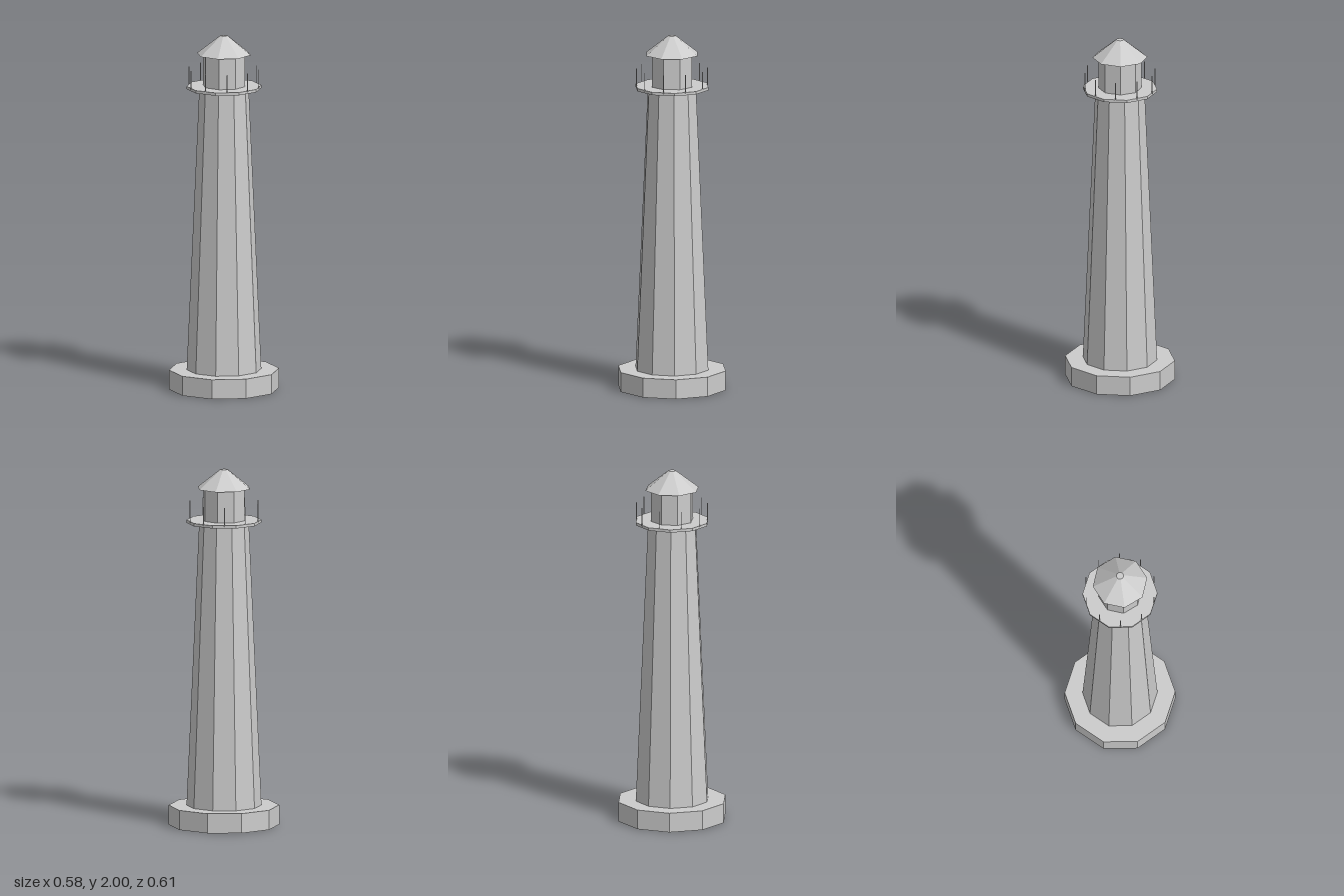
import * as THREE from 'three';

export function createModel() {
  const group = new THREE.Group();
  const stone = new THREE.MeshStandardMaterial({ color: 0xcccccc, flatShading: true });
  stone.name = 'lightGrey';

  // Faceted frustum standing between two heights, with a corner facing the front
  function prism(name, rTop, rBottom, y0, y1, sides) {
    const geometry = new THREE.CylinderGeometry(rTop, rBottom, y1 - y0, sides);
    const mesh = new THREE.Mesh(geometry, stone);
    mesh.name = name;
    mesh.position.y = (y0 + y1) / 2;
    group.add(mesh);
    return mesh;
  }

  prism('base', 0.307, 0.307, 0, 0.11, 10);
  prism('tower', 0.138, 0.208, 0.11, 1.7, 10);
  prism('gallery', 0.208, 0.208, 1.7, 1.716, 10);
  prism('lantern', 0.12, 0.12, 1.716, 1.895, 8);
  prism('roof', 0.021, 0.153, 1.895, 2, 8);

  // Thin posts at the middle of each gallery edge
  for (let i = 0; i < 10; i++) {
    const angle = ((i + 0.5) / 10) * Math.PI * 2;
    const post = prism('railingPost', 0.003, 0.003, 1.71, 1.815, 3);
    post.position.x = Math.sin(angle) * 0.198;
    post.position.z = Math.cos(angle) * 0.198;
    post.rotation.y = Math.PI;
  }

  return group;
}
